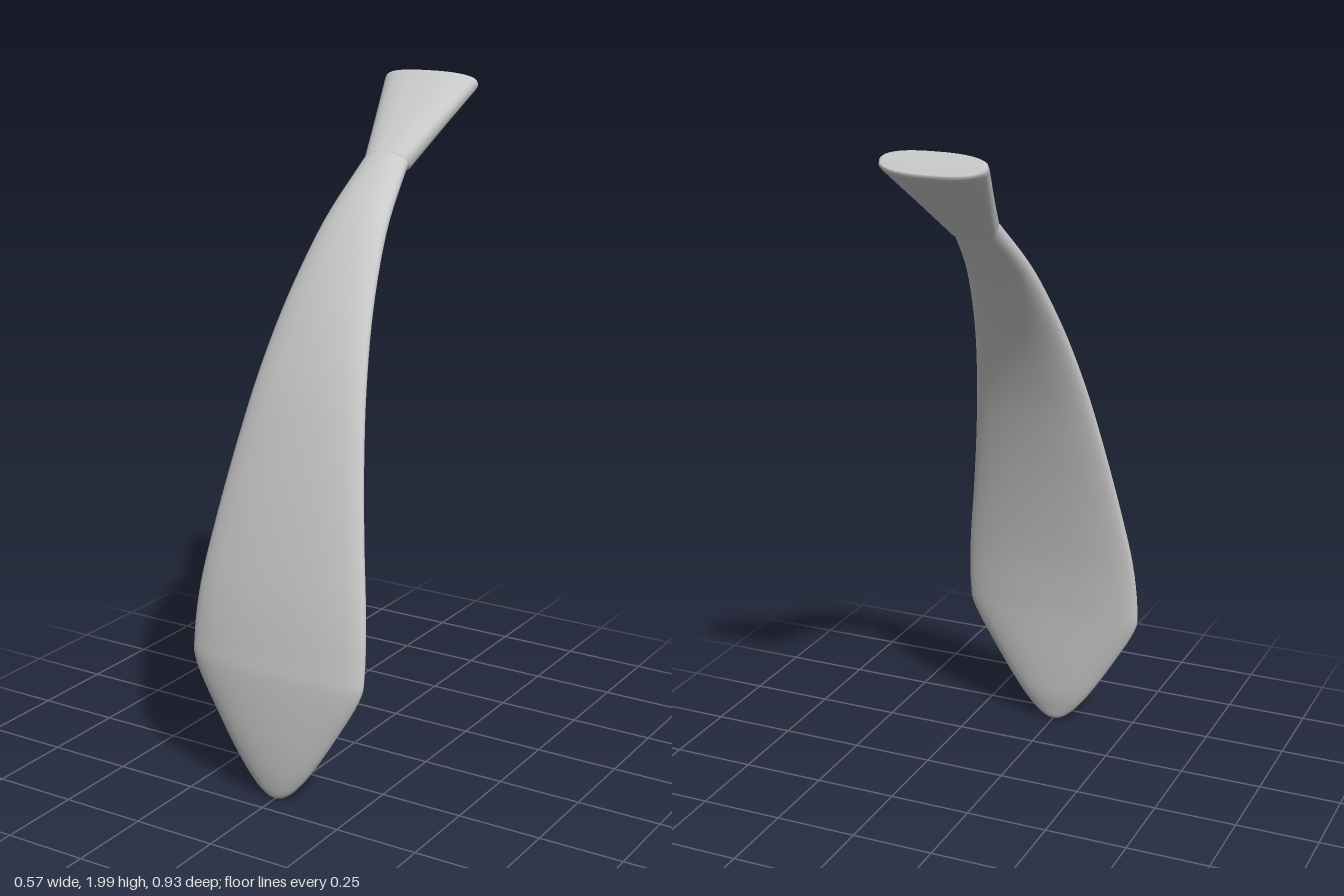
import * as THREE from 'three';

const RADIAL = 40;

// Closed loft along a spine in the yz plane; rows are [y, z, halfWidth, halfThickness].
// Each section is a superellipse set square to the spine.
function loft(rows, roundness) {
  const position = [], index = [];
  rows.forEach(([y, z, w, t], i) => {
    const a = rows[Math.max(i - 1, 0)], b = rows[Math.min(i + 1, rows.length - 1)];
    const dir = new THREE.Vector2(b[0] - a[0], b[1] - a[1]).normalize(); // (dy, dz)
    for (let j = 0; j < RADIAL; j++) {
      const u = (j / RADIAL) * Math.PI * 2;
      const c = Math.cos(u), s = Math.sin(u);
      const px = w * Math.sign(c) * Math.abs(c) ** (2 / roundness);
      const pn = t * Math.sign(s) * Math.abs(s) ** (2 / roundness);
      position.push(px, y - dir.y * pn, z + dir.x * pn);
      if (i === rows.length - 1) continue;
      const p = i * RADIAL + j, q = i * RADIAL + (j + 1) % RADIAL;
      index.push(p, p + RADIAL, q, q, p + RADIAL, q + RADIAL);
    }
  });
  const geometry = new THREE.BufferGeometry();
  geometry.setAttribute('position', new THREE.Float32BufferAttribute(position, 3));
  geometry.setIndex(index);
  geometry.computeVertexNormals();
  return geometry;
}

// Smoothly resample profile rows
function smoothRows(rows, steps) {
  const spine = new THREE.CatmullRomCurve3(rows.map(r => new THREE.Vector3(r[0], r[1], r[2])), false, 'catmullrom', 0.5);
  const thick = new THREE.CatmullRomCurve3(rows.map(r => new THREE.Vector3(r[3], 0, 0)), false, 'catmullrom', 0.5);
  return Array.from({ length: steps + 1 }, (_, i) => {
    const p = spine.getPoint(i / steps);
    return [p.x, p.y, Math.max(p.z, 0), Math.max(thick.getPoint(i / steps).x, 0)];
  });
}

export function createModel() {
  const group = new THREE.Group();
  group.name = 'necktie';
  const material = new THREE.MeshStandardMaterial({ color: 0xcccccc, roughness: 0.8 });
  const add = (name, geometry) => {
    const mesh = new THREE.Mesh(geometry, material);
    mesh.name = name;
    group.add(mesh);
  };

  // Blade: rounded tip, widest low down, narrowing as it bends back
  const blade = smoothRows([
    [0.003, 0.43, 0, 0],
    [0.012, 0.43, 0.03, 0.012],
    [0.045, 0.43, 0.07, 0.022],
    [0.11, 0.428, 0.122, 0.033],
    [0.22, 0.426, 0.193, 0.04],
    [0.36, 0.421, 0.273, 0.043],
    [0.44, 0.413, 0.286, 0.042],
    [0.6, 0.39, 0.276, 0.04],
    [0.8, 0.347, 0.244, 0.038],
    [1.0, 0.293, 0.21, 0.037],
    [1.2, 0.225, 0.176, 0.037],
    [1.4, 0.13, 0.14, 0.037],
    [1.59, 0, 0.104, 0.037],
    [1.73, -0.145, 0.075, 0.036],
    [1.77, -0.195, 0.068, 0.034],
  ], 70);
  blade.push([1.77, -0.195, 0, 0]);
  add('blade', loft(blade, 2.15));

  // Knot: straight flared wedge with softened rims and flat ends
  const from = [1.748, -0.174], to = [1.968, -0.44];
  const knot = [
    [0, 0, 0],
    [0, 0.058, 0.03],
    [0.008, 0.066, 0.036],
    [0.04, 0.073, 0.041],
    [0.3, 0.095, 0.042],
    [0.65, 0.126, 0.042],
    [0.94, 0.152, 0.042],
    [0.975, 0.154, 0.0405],
    [0.995, 0.151, 0.037],
    [1, 0.146, 0.033],
    [1, 0.136, 0.026],
    [1, 0, 0],
  ].map(([s, w, t]) => [
    THREE.MathUtils.lerp(from[0], to[0], s),
    THREE.MathUtils.lerp(from[1], to[1], s), w, t,
  ]);
  add('knot', loft(knot, 2.5));

  return group;
}
